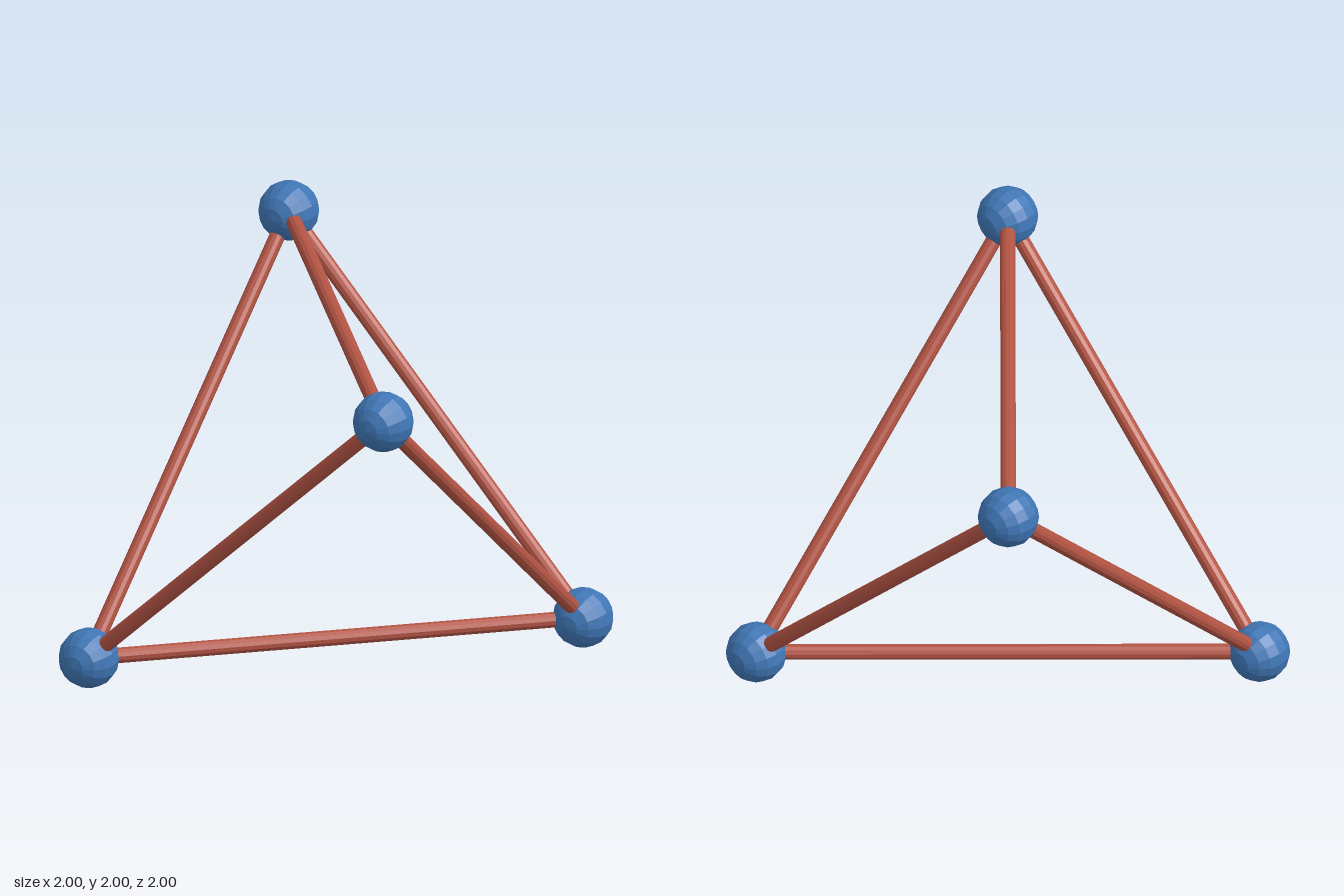
import * as THREE from 'three';

const C = 0.853;          // half the spacing between ball centres
const BALL_R = 0.147;
const ROD_R = 0.038;

export function createModel() {
  const model = new THREE.Group();
  model.name = 'tetrahedronFrame';

  const blue = new THREE.MeshStandardMaterial({ color: 0x3f76b5, flatShading: true });
  const red = new THREE.MeshStandardMaterial({ color: 0xb35444, flatShading: true });

  // Four alternating corners of a cube
  const corners = [[1, 1, 1], [-1, 1, -1], [1, -1, -1], [-1, -1, 1]]
    .map(([x, y, z]) => new THREE.Vector3(x * C, 1 + y * C, z * C));

  // Faceted corner balls, poles along z
  const ballGeo = new THREE.SphereGeometry(BALL_R, 16, 8).rotateX(Math.PI / 2);
  corners.forEach((p, i) => {
    const ball = new THREE.Mesh(ballGeo, blue);
    ball.name = `cornerBall${i + 1}`;
    ball.position.copy(p);
    model.add(ball);
  });

  // Six rods, one between each pair of balls
  const rodGeo = new THREE.CylinderGeometry(ROD_R, ROD_R, corners[0].distanceTo(corners[1]), 12);
  const up = new THREE.Vector3(0, 1, 0);
  for (let i = 0; i < corners.length; i++) {
    for (let j = i + 1; j < corners.length; j++) {
      const rod = new THREE.Mesh(rodGeo, red);
      rod.name = `edgeRod${i + 1}${j + 1}`;
      rod.position.lerpVectors(corners[i], corners[j], 0.5);
      rod.quaternion.setFromUnitVectors(up, corners[j].clone().sub(corners[i]).normalize());
      model.add(rod);
    }
  }
  return model;
}
